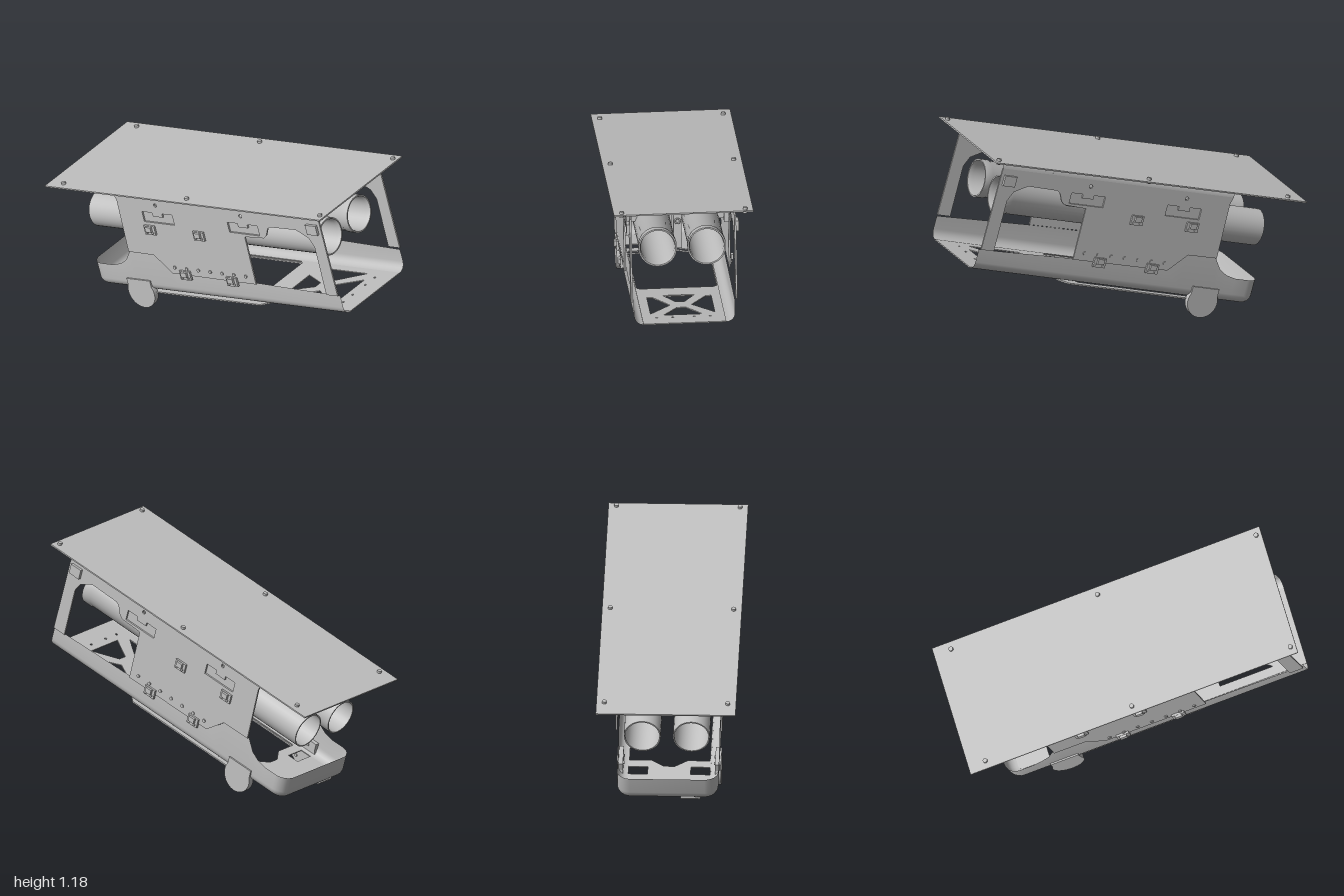
import * as THREE from 'three';
import { toCreasedNormals } from 'three/addons/utils/BufferGeometryUtils.js';

const metal = new THREE.MeshStandardMaterial({ color: 0xc0c0c0, side: THREE.DoubleSide });
metal.name = 'grey metal';

// Everything is built level (z along the tubes) and tilted at the end.
const TILT = THREE.MathUtils.degToRad(16);
const FLOOR = 0.215, FRONT = 1.1, REAR = -0.686, TRAY_W = 0.282, WALL_W = 0.298;

export function createModel() {
  const model = new THREE.Group();
  const body = new THREE.Group();
  body.name = 'tiltedLauncher';
  body.rotation.x = -TILT;
  model.add(body);

  const add = (name, geo, x = 0, y = 0, z = 0) => {
    const m = new THREE.Mesh(geo, metal);
    m.name = name;
    m.position.set(x, y, z);
    body.add(m);
    return m;
  };
  const box = (name, w, h, d, x, y, z) => add(name, new THREE.BoxGeometry(w, h, d), x, y, z);
  const poly = (pts, Type = THREE.Path) => new Type(pts.map(p => new THREE.Vector2(...p)));
  const rect = (a, b, c, d) => poly([[a, b], [c, b], [c, d], [a, d]]);
  const circle = (x, y, r) => new THREE.Path().absarc(x, y, r, 0, Math.PI * 2);
  // Horizontal sheet from a shape in (x, z); its top lies at y
  const sheet = (name, shape, y, t) => {
    const g = new THREE.ExtrudeGeometry(shape, { depth: t, bevelEnabled: false, curveSegments: 8 });
    return add(name, g.rotateX(Math.PI / 2), 0, y, 0);
  };
  // Upright sheet from a shape in (z, y); its outer face lies at x
  const upright = (name, shape, x, t) => {
    const g = new THREE.ExtrudeGeometry(shape, { depth: t, bevelEnabled: false, curveSegments: 12 });
    return add(name, g.rotateY(-Math.PI / 2), x, 0, 0);
  };
  // Smooth surface through a grid of points
  const grid = (rows) => {
    const n = rows[0].length, index = [];
    for (let i = 0; i < rows.length - 1; i++) {
      for (let j = 0; j < n - 1; j++) {
        const a = i * n + j;
        index.push(a, a + n, a + 1, a + 1, a + n, a + n + 1);
      }
    }
    const g = new THREE.BufferGeometry();
    g.setAttribute('position', new THREE.Float32BufferAttribute(rows.flat(2), 3));
    g.setIndex(index);
    return toCreasedNormals(g, 0.6);
  };

  // Roof plate with its screws
  box('roofPlate', 0.78, 0.008, 1.977, 0, 0.88, 0.2);
  for (const x of [-0.345, 0.345]) {
    for (const z of [1.158, 0.2, -0.685]) {
      add('roofScrew', new THREE.CylinderGeometry(0.013, 0.013, 0.034, 10), x, 0.88, z);
    }
  }

  // Upper channel: top sheet, bent corners and cut-out side plates
  const R = 0.045, TOP = 0.874;
  sheet('channelTop', poly([[-0.254, FRONT - 0.008], [0.254, FRONT - 0.008], [0.254, -0.6],
    [0.2, -0.7], [-0.2, -0.7], [-0.254, -0.6]], THREE.Shape), TOP, 0.008);
  for (const s of [-1, 1]) {
    const rows = [];
    for (let i = 0; i <= 6; i++) {
      const a = (i / 6) * Math.PI / 2;
      const x = s * (WALL_W - R + R * Math.cos(a)), y = TOP - R + R * Math.sin(a);
      rows.push([[x, y, FRONT - 0.008], [x, y, -0.38 - 0.035 * (i / 6) ** 2]]);
    }
    add('channelCorner', grid(rows));

    const side = poly([[1.094, 0.345], [1.092, TOP - R], [-0.38, TOP - R], [-0.368, 0.79],
      [-0.375, 0.466], [-0.193, 0.464], [-0.089, 0.36], [0.51, 0.355], [0.515, 0.657], [0.655, 0.663],
      [0.676, 0.68], [0.7, 0.728], [0.72, 0.74], [0.907, 0.744], [0.988, 0.7], [1.015, 0.645],
      [1.013, 0.345]], THREE.Shape);
    // slots with a small tab hanging from the top edge
    for (const z of [0.52, -0.093]) {
      side.holes.push(poly([[z - 0.108, 0.675], [z + 0.108, 0.675], [z + 0.108, 0.738], [z + 0.035, 0.738],
        [z + 0.035, 0.715], [z - 0.035, 0.715], [z - 0.035, 0.738], [z - 0.108, 0.738]]));
      side.holes.push(circle(z, 0.788, 0.011));
    }
    side.holes.push(rect(0.775, 0.83, 0.825, 0.86));
    upright('sidePlate', side, s > 0 ? WALL_W : -WALL_W + 0.01, 0.01);

    // Fittings on the outside of the plate
    box('cornerBlock', 0.02, 0.06, 0.075, s * 0.304, 0.762, 1.035);
    for (const [z, y] of [[0.183, 0.628], [-0.168, 0.628], [0.345, 0.358], [0.011, 0.361]]) {
      box('latchPlate', 0.014, 0.055, 0.075, s * 0.303, y, z);
      box('latchKnuckle', 0.028, 0.03, 0.04, s * 0.31, y + 0.01, z);
      for (const d of [-0.02, 0.02]) {
        add('latchRivet', new THREE.CylinderGeometry(0.007, 0.007, 0.008, 8).rotateZ(Math.PI / 2),
          s * 0.312, y - 0.014, z + d);
      }
    }
    for (let i = 0; i < 7; i++) {
      add('seamRivet', new THREE.CylinderGeometry(0.01, 0.01, 0.008, 10).rotateZ(Math.PI / 2),
        s * 0.3, 0.4, -0.06 + i * 0.085);
    }

    // Clamp blocks behind the slots
    for (const z of [0.52, -0.093]) {
      box('clampBlock', 0.026, 0.09, 0.23, s * 0.272, 0.7, z);
      box('clampPad', 0.05, 0.04, 0.1, s * 0.25, 0.68, z);
    }
    for (const z of [0.96, -0.58]) box('roofTab', 0.055, 0.016, 0.03, s * 0.215, 0.86, z);
  }

  // Twin open tubes with a front collar
  const tubeProfile = [[0.096, -0.652], [0.103, -0.652], [0.103, 0.94], [0.108, 0.95], [0.108, 1.0],
    [0.1, 1.0], [0.094, 0.975], [0.096, -0.652]].map(p => new THREE.Vector2(...p));
  for (const x of [-0.137, 0.137]) {
    const g = new THREE.LatheGeometry(tubeProfile, 32).rotateX(Math.PI / 2);
    add('tube', toCreasedNormals(g, 0.5), x, 0.63, 0);
  }

  // Cross bars and the hanger between the tubes
  for (const z of [0.6, -0.093]) box('crossBar', 0.56, 0.06, 0.06, 0, 0.75, z);
  box('hanger', 0.045, 0.24, 0.16, 0, 0.62, 0.51);
  box('hangerTop', 0.08, 0.13, 0.05, 0, 0.805, 0.6);
  add('hangerPin', new THREE.TorusGeometry(0.014, 0.005, 6, 14), 0, 0.66, 0.595);

  // Tray: plan outline inset by d, with rounded rear corners
  const outline = (d) => {
    const w = TRAY_W - d, r = 0.075 - d, c = REAR + 0.075, half = [];
    for (const z of [FRONT, 0.5, -0.089, -0.193, -0.377, -0.423, -0.47, -0.53]) half.push([w, z]);
    for (let i = 0; i <= 6; i++) {
      const a = (i / 6) * Math.PI / 2;
      half.push([TRAY_W - 0.075 + r * Math.cos(a), c - r * Math.sin(a)]);
    }
    return [...half, ...half.slice().reverse().map(([x, z]) => [-x, z])];
  };
  const heights = [0.34, 0.356, 0.36, 0.462, 0.464, 0.4, 0.372, 0.358];
  const BEND = 0.05, rings = [];
  for (let i = 0; i <= 6; i++) {
    const a = (i / 6) * Math.PI / 2;
    rings.push(outline(BEND * (1 - Math.sin(a))).map(([x, z]) => [x, FLOOR + BEND * (1 - Math.cos(a)), z]));
  }
  rings.push(outline(0).map(([x, z], i, all) => [x, heights[Math.min(i, all.length - 1 - i)] ?? 0.358, z]));
  add('trayWall', grid(rings));

  // Tray floor with the braced front, the large opening and the foot slots
  const opening = () => poly([[-0.225, 0.40], [-0.205, 0.42], [0.205, 0.42], [0.225, 0.40], [0.225, -0.32],
    [0.1, -0.32], [0.03, -0.375], [-0.03, -0.375], [-0.1, -0.32], [-0.225, -0.32]]);
  const floor = poly(outline(BEND), THREE.Shape);
  floor.holes.push(opening());
  floor.holes.push(poly([[-0.11, 0.94], [0.11, 0.94], [0.025, 0.8], [-0.025, 0.8]]));
  floor.holes.push(poly([[-0.09, 0.56], [0.09, 0.56], [0.025, 0.69], [-0.025, 0.69]]));
  for (const s of [-1, 1]) {
    floor.holes.push(poly([[s * 0.18, 0.91], [s * 0.06, 0.75], [s * 0.15, 0.59], [s * 0.18, 0.59]]));
    floor.holes.push(rect(s * 0.12, -0.45, s * 0.228, -0.38));
    for (const x of [0.06, 0.15]) floor.holes.push(circle(s * x, 0.985, 0.007));
  }
  sheet('trayFloor', floor, FLOOR + 0.004, 0.006);

  // Frame under the opening, and the small plate at the rear
  const frame = poly([[-0.265, 0.47], [-0.22, 0.525], [0.22, 0.525], [0.265, 0.47],
    [0.265, -0.3], [0.225, -0.33], [0.1, -0.33], [0.03, -0.385], [-0.03, -0.385], [-0.1, -0.33],
    [-0.225, -0.33], [-0.265, -0.3]], THREE.Shape);
  frame.holes.push(opening());
  sheet('underFrame', frame, 0.207, 0.008);
  box('rearLabelPlate', 0.11, 0.008, 0.14, -0.127, 0.208, -0.59);

  // Round feet with a neck up the tray wall
  for (const s of [-1, 1]) {
    const foot = new THREE.Shape();
    foot.moveTo(-0.28, 0.285);
    foot.lineTo(-0.28, 0.243);
    foot.absarc(-0.363, 0.203, 0.093, 0.45, Math.PI - 0.45, true);
    foot.lineTo(-0.447, 0.285);
    upright('foot', foot, s * 0.274 + 0.017, 0.034);
    for (let i = 0; i < 6; i++) {
      const a = i * Math.PI / 3;
      add('footBolt', new THREE.CylinderGeometry(0.009, 0.009, 0.008, 8).rotateZ(Math.PI / 2),
        s * 0.255, 0.203 + 0.062 * Math.sin(a), -0.363 + 0.062 * Math.cos(a));
    }
  }
  return model;
}
